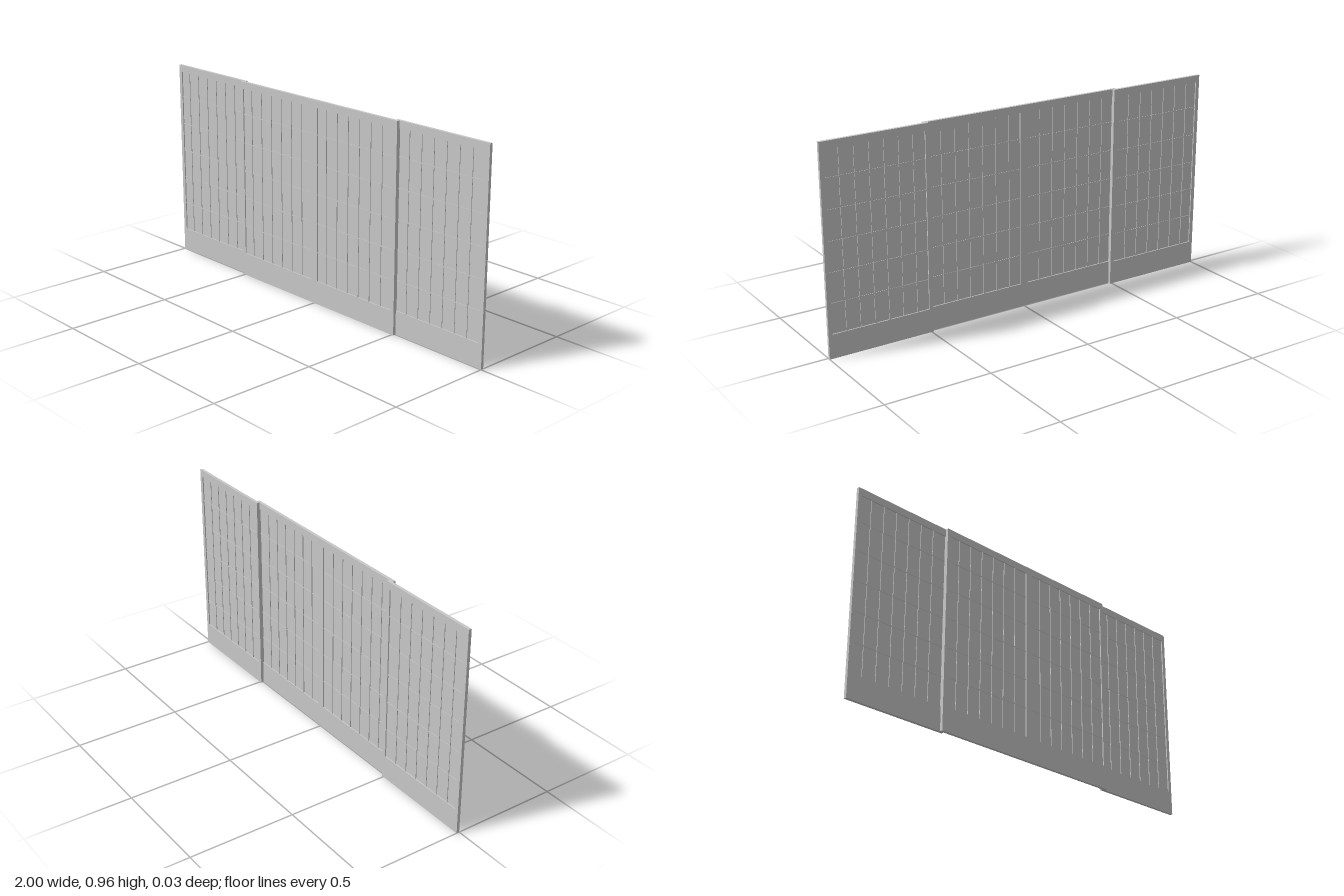
import * as THREE from 'three';

const HEIGHT = 0.963, WIDTH = 0.51, DEPTH = 0.014;
const STILE = 0.019, TOP_RAIL = 0.034, BOTTOM_RAIL = 0.112;
const BAR = 0.005, COLUMN_PITCH = 0.0693, ROW_PITCH = 0.1385;

export function createModel() {
  const grey = new THREE.MeshStandardMaterial({ color: 0xc8c8c8 });
  grey.name = 'lightGrey';

  const left = -WIDTH / 2 + STILE, right = WIDTH / 2 - STILE;
  const low = BOTTOM_RAIL, high = HEIGHT - TOP_RAIL;
  const openW = right - left, openH = high - low, midY = (low + high) / 2;

  function box(name, w, h, d, x, y, parent) {
    const mesh = new THREE.Mesh(new THREE.BoxGeometry(w, h, d), grey);
    mesh.name = name;
    mesh.position.set(x, y, 0);
    parent.add(mesh);
  }

  // Frame with one large opening
  const outline = new THREE.Shape([
    new THREE.Vector2(-WIDTH / 2, 0), new THREE.Vector2(WIDTH / 2, 0),
    new THREE.Vector2(WIDTH / 2, HEIGHT), new THREE.Vector2(-WIDTH / 2, HEIGHT),
  ]);
  outline.holes.push(new THREE.Path([
    new THREE.Vector2(left, low), new THREE.Vector2(left, high),
    new THREE.Vector2(right, high), new THREE.Vector2(right, low),
  ]));
  const frameGeometry = new THREE.ExtrudeGeometry(outline, { depth: DEPTH, bevelEnabled: false });
  frameGeometry.translate(0, 0, -DEPTH / 2);

  function slidingPanel(name, x, z) {
    const panel = new THREE.Group();
    panel.name = name;
    panel.position.set(x, 0, z);
    const frame = new THREE.Mesh(frameGeometry, grey);
    frame.name = 'frame';
    panel.add(frame);
    // Thin sheet in the middle, with the lattice standing out on both sides
    box('paperSheet', openW, openH, 0.003, 0, midY, panel);
    // Bars are spaced from the left stile and the bottom rail
    for (let i = 1; i <= 6; i++) {
      box('verticalBar', BAR, openH, 0.01, right - COLUMN_PITCH * i, midY, panel);
    }
    for (let j = 1; j <= 5; j++) {
      box('horizontalBar', openW, BAR, 0.007, 0, low + ROW_PITCH * j, panel);
    }
    return panel;
  }

  // Two middle panels run on the front track, the outer two behind them
  const model = new THREE.Group();
  model.name = 'slidingScreen';
  for (const [side, s] of [['left', 1], ['right', -1]]) {
    model.add(slidingPanel(side + 'InnerPanel', s * WIDTH / 2, DEPTH / 2));
    model.add(slidingPanel(side + 'OuterPanel', s * (1 - WIDTH / 2), -DEPTH / 2));
  }
  return model;
}
